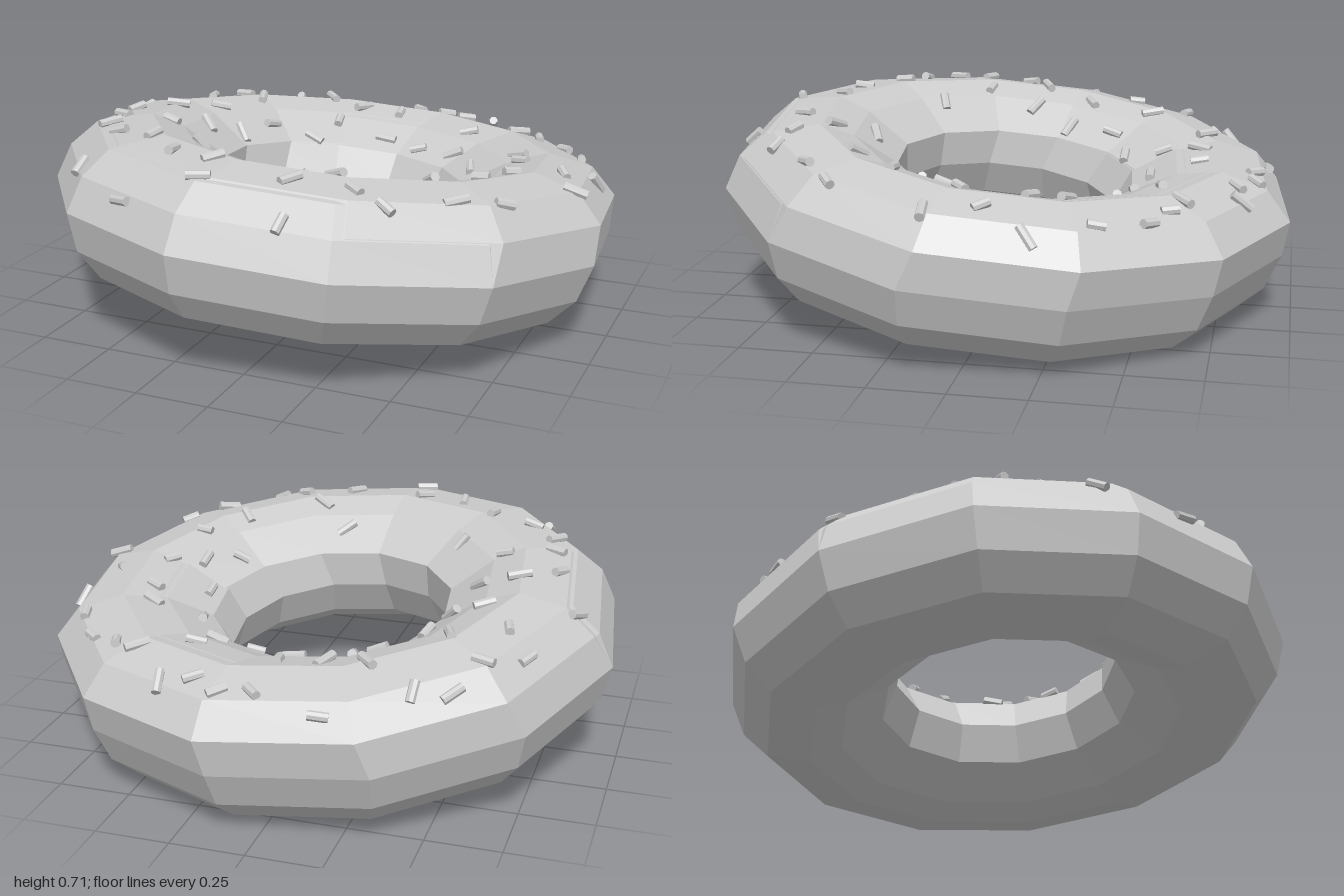
import * as THREE from 'three';

const SIDES = 12, STEP = Math.PI / 6, TURN = 0.143;  // ring segments and their offset
const R = 0.697;                                     // ring radius
const TOP = 0.243, BOTTOM = 0.262;                   // section height above and below the middle
const REACH = [0.293, 0.25, 0.163, 0.01, -0.1, -0.25, -0.305]; // section half, outside to hole
const ICING = 1.05, SHIFT_X = 0.024, SHIFT_Z = -0.038; // icing swell and its slip to the back right

const material = () => new THREE.MeshStandardMaterial({ color: 0xcccccc, flatShading: true });

// Distance from the ring's centre line and height at section step j
function section(j, swell) {
  const s = Math.sin(j * STEP);
  return [REACH[j <= 6 ? j : 12 - j] * swell, s * (s > 0 ? TOP : BOTTOM) * swell];
}

function ringPoint(i, j, swell = 1) {
  const a = TURN + i * STEP, [d, y] = section(j, swell);
  return [(R + d) * Math.sin(a), y, -(R + d) * Math.cos(a)];
}

// Loop of cross-sections; point(i, j) gives each corner
function sweep(name, rows, closed, point) {
  const pos = [], index = [];
  for (let i = 0; i < SIDES; i++) for (let j = 0; j < rows; j++) pos.push(...point(i, j));
  for (let i = 0; i < SIDES; i++) {
    for (let j = 0; j < (closed ? rows : rows - 1); j++) {
      const i2 = (i + 1) % SIDES, j2 = (j + 1) % rows;
      const a = i * rows + j, b = i * rows + j2, c = i2 * rows + j2, d = i2 * rows + j;
      index.push(a, b, c, a, c, d);
    }
  }
  const g = new THREE.BufferGeometry();
  g.setAttribute('position', new THREE.Float32BufferAttribute(pos, 3));
  g.setIndex(index);
  g.computeVertexNormals();
  const mesh = new THREE.Mesh(g, material());
  mesh.name = name;
  return mesh;
}

// Height of a faceted ring's upper side
function ringHeight(x, z, swell) {
  const a = Math.atan2(x, -z) - TURN;
  const off = a - (Math.floor(a / STEP) + 0.5) * STEP;
  const d = Math.hypot(x, z) * Math.cos(off) / Math.cos(STEP / 2) - R;
  let k = 0;
  while (k < 5 && section(k + 1, swell)[0] > d) k++;
  const [d0, y0] = section(k, swell), [d1, y1] = section(k + 1, swell);
  return THREE.MathUtils.lerp(y0, y1, THREE.MathUtils.clamp((d - d0) / (d1 - d0), 0, 1));
}

const topHeight = (x, z) =>
  Math.max(ringHeight(x, z, 1), ringHeight(x - SHIFT_X, z - SHIFT_Z, ICING));

// Where the sprinkles lie, seen from above: x, z
const SPRINKLES = [
  -0.2, -0.9, -0.45, -0.75, -0.56, -0.7, -0.63, -0.57, -0.74, -0.46, -0.67, -0.37, -0.5, -0.45,
  -0.39, -0.32, -0.56, -0.21, -0.43, -0.15, -0.85, -0.16, -0.76, 0.07, -0.64, -0.02, -0.5, 0,
  -0.72, 0.23, -0.55, 0.19, -0.36, 0.33, -0.7, 0.35, -0.6, 0.46, -0.44, 0.51, -0.62, 0.65,
  -0.3, 0.63, -0.14, 0.66, -0.36, 0.83, -0.11, 0.81, 0.2, 0.87, 0.15, 0.71, 0.12, 0.46,
  0.35, 0.68, 0.46, 0.7, 0.5, 0.41, 0.24, 0.57, 0.63, 0.54, 0.75, 0.43, 0.62, 0.26,
  0.46, 0.2, 0.56, 0.1, 0.49, -0.05, 0.66, 0.03, 0.89, 0.09, 0.81, -0.07, 0.89, -0.23,
  0.63, -0.19, 0.43, -0.27, 0.59, -0.3, 0.79, -0.42, 0.69, -0.57, 0.58, -0.62, 0.49, -0.65,
  0.32, -0.57, 0.34, -0.83, 0.23, -0.81, 0.13, -0.87, 0.02, -0.86, 0, -0.67, -0.15, -0.66,
  -0.29, -0.67, -0.2, -0.53, 0.01, -0.51, 0.16, -0.47, 0.31, -0.43, -0.24, -0.39,
];

export function createModel() {
  const ring = new THREE.Group();
  ring.name = 'tiltedRing';

  // Dough
  ring.add(sweep('dough', 12, true, (i, j) => ringPoint(i, j)));

  // Icing over the upper half, slipped sideways, its rims meeting the dough
  ring.add(sweep('icing', 7, false, (i, j) => {
    if (j === 0 || j === 6) return ringPoint(i, j);
    const [x, y, z] = ringPoint(i, j, ICING);
    return [x + SHIFT_X, y, z + SHIFT_Z];
  }));

  // Sprinkles laid along the icing
  const sprinkles = new THREE.Group();
  sprinkles.name = 'sprinkles';
  const rod = new THREE.CylinderGeometry(0.016, 0.016, 0.07, 8);
  const rodMaterial = material();
  let seed = 7;
  const random = () => (seed = (seed * 16807) % 2147483647) / 2147483647;
  const up = new THREE.Vector3(0, 1, 0), e = 0.02;
  for (let k = 0; k < SPRINKLES.length; k += 2) {
    const x = SPRINKLES[k] - 0.015, z = SPRINKLES[k + 1] + 0.013;
    const normal = new THREE.Vector3(
      topHeight(x - e, z) - topHeight(x + e, z), 2 * e,
      topHeight(x, z - e) - topHeight(x, z + e)).normalize();
    const turn = random() * Math.PI * 2;
    const along = new THREE.Vector3(Math.cos(turn), 0, Math.sin(turn)).projectOnPlane(normal).normalize();
    along.addScaledVector(normal, (random() - 0.5) * 0.5).normalize();
    const mesh = new THREE.Mesh(rod, rodMaterial);
    mesh.name = 'sprinkle';
    mesh.position.set(x, topHeight(x, z), z).addScaledVector(normal, 0.007);
    mesh.quaternion.setFromUnitVectors(up, along);
    mesh.scale.y = 0.8 + random() * 0.4;
    sprinkles.add(mesh);
  }
  ring.add(sprinkles);

  // Lean towards the back right, then stand on the ground
  ring.rotation.set(-0.112, 0, -0.06);
  const model = new THREE.Group();
  model.name = 'doughnut';
  model.add(ring);
  model.updateMatrixWorld(true);
  const box = new THREE.Box3().setFromObject(model, true);
  const mid = box.getCenter(new THREE.Vector3());
  ring.position.set(-mid.x, -box.min.y, -mid.z);
  return model;
}
